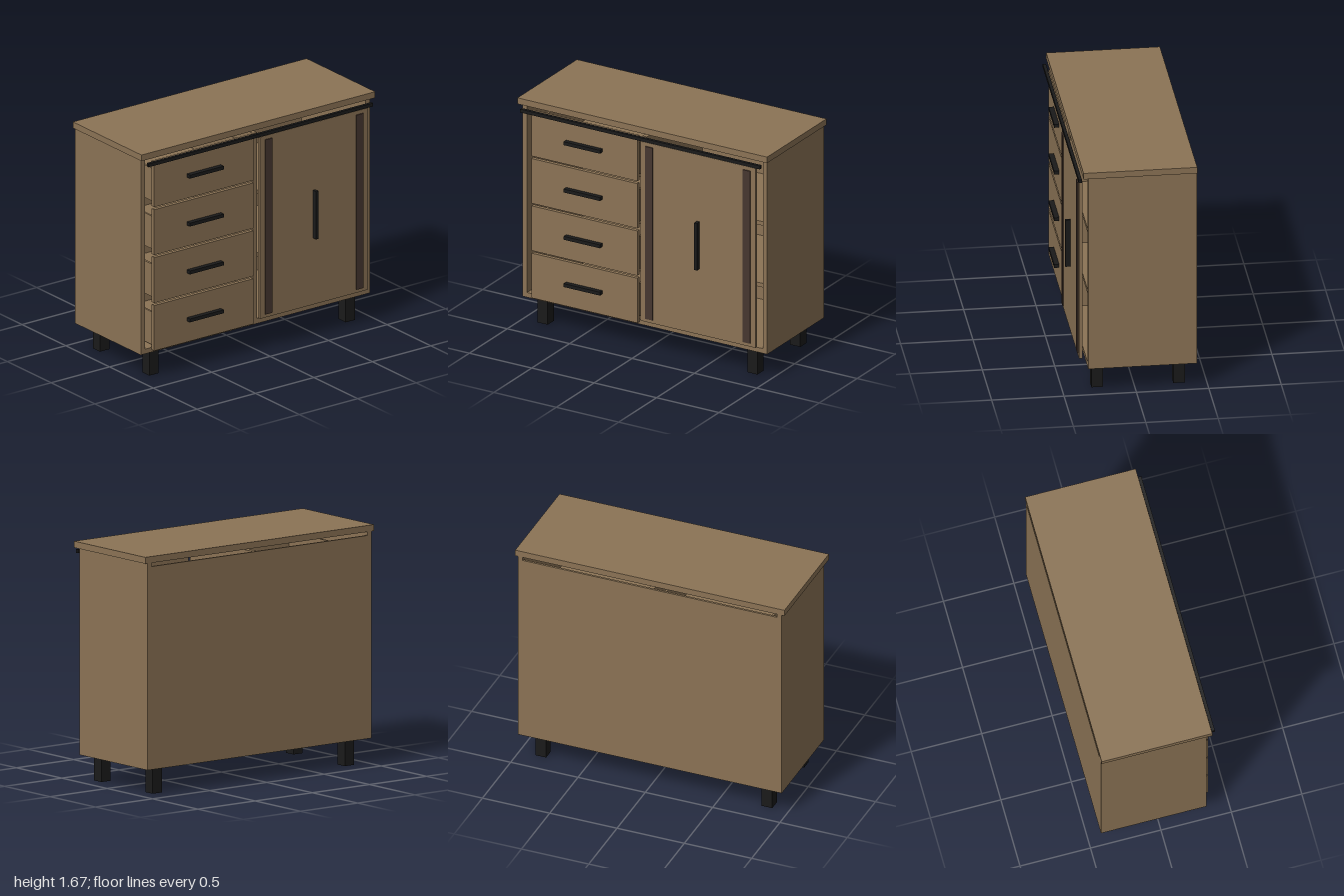
import * as THREE from 'three';

const mat = (name, color) => {
  const m = new THREE.MeshStandardMaterial({ color });
  m.name = name;
  return m;
};

export function createModel() {
  const wood = mat('wood', 0x8b7355);
  const black = mat('blackMetal', 0x1a1a1a);
  const dark = mat('darkTrim', 0x46362f);
  const root = new THREE.Group();
  root.name = 'cabinet';

  // Box given by its limits on each axis
  const box = (name, material, [x0, x1], [y0, y1], [z0, z1], parent = root) => {
    const mesh = new THREE.Mesh(new THREE.BoxGeometry(x1 - x0, y1 - y0, z1 - z0), material);
    mesh.position.set((x0 + x1) / 2, (y0 + y1) / 2, (z0 + z1) / 2);
    mesh.name = name;
    parent.add(mesh);
    return mesh;
  };

  // Carcass
  box('top', wood, [-1, 1], [1.625, 1.67], [-0.42, 0.365]);
  box('rightSide', wood, [-0.98, -0.945], [0.185, 1.625], [-0.42, 0.33]);
  box('leftSide', wood, [0.945, 0.98], [0.185, 1.625], [-0.42, 0.33]);
  box('bottom', wood, [-0.945, 0.945], [0.185, 0.22], [-0.42, 0.33]);
  box('back', wood, [-0.945, 0.945], [0.22, 1.6], [-0.42, -0.405]);
  box('divider', wood, [-0.02, 0.015], [0.22, 1.59], [-0.405, 0.33]);
  for (const y of [0.68, 1.14]) box('shelf', wood, [0.015, 0.945], [y - 0.015, y + 0.015], [-0.405, 0.31]);

  // Legs
  for (const x of [-0.84, 0.84])
    for (const z of [-0.31, 0.255])
      box('leg', black, [x - 0.04, x + 0.04], [0, 0.185], [z - 0.04, z + 0.04]);

  // Drawers: front, open box and bar handle
  for (let i = 0; i < 4; i++) {
    const y = 0.205 + i * 0.352;
    const drawer = new THREE.Group();
    drawer.name = 'drawer';
    root.add(drawer);
    box('drawerFront', wood, [-0.89, -0.04], [y, y + 0.333], [0.335, 0.363], drawer);
    const low = y + 0.025, high = y + 0.265;
    box('drawerBase', wood, [-0.87, -0.06], [low, low + 0.015], [-0.36, 0.335], drawer);
    box('drawerBack', wood, [-0.87, -0.06], [low + 0.015, high], [-0.36, -0.345], drawer);
    for (const x of [-0.87, -0.075])
      box('drawerSide', wood, [x, x + 0.015], [low + 0.015, high], [-0.345, 0.335], drawer);
    box('drawerHandle', black, [-0.61, -0.32], [y + 0.155, y + 0.18], [0.363, 0.398], drawer);
  }

  // Sliding door with two trim strips and a handle
  const door = new THREE.Group();
  door.name = 'slidingDoor';
  root.add(door);
  box('doorPanel', wood, [0, 0.92], [0.24, 1.575], [0.363, 0.386], door);
  for (const x of [0.07, 0.85]) box('doorStrip', dark, [x - 0.03, x + 0.03], [0.265, 1.548], [0.386, 0.394], door);
  box('doorHandle', black, [0.45, 0.472], [0.73, 1.08], [0.386, 0.423], door);

  // Rail above the door
  box('rail', black, [-0.96, 0.96], [1.58, 1.605], [0.372, 0.394]);

  return root;
}
